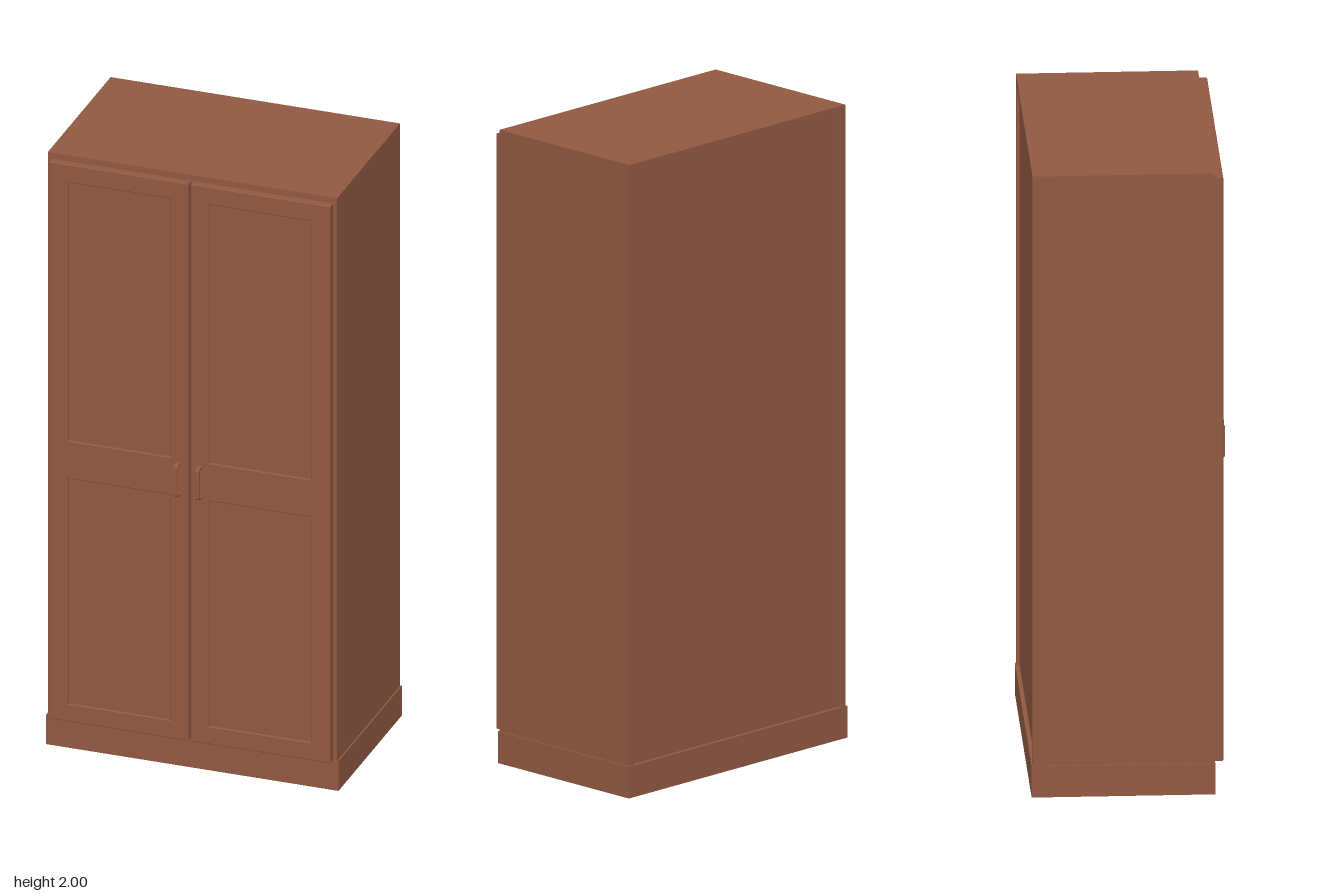
import * as THREE from 'three';

export function createModel() {
  const model = new THREE.Group();
  model.name = 'wardrobe';
  const wood = new THREE.MeshStandardMaterial({ color: 0x915942 });
  wood.name = 'brown wood';

  const add = (parent, name, geometry, x = 0, y = 0, z = 0) => {
    const mesh = new THREE.Mesh(geometry, wood);
    mesh.name = name;
    mesh.position.set(x, y, z);
    parent.add(mesh);
    return mesh;
  };
  // Box given by its limits on each axis
  const box = (parent, name, x0, x1, y0, y1, z0, z1) =>
    add(parent, name, new THREE.BoxGeometry(x1 - x0, y1 - y0, z1 - z0),
      (x0 + x1) / 2, (y0 + y1) / 2, (z0 + z1) / 2);
  const rectangle = (Type, x0, x1, y0, y1) => new Type([
    new THREE.Vector2(x0, y0), new THREE.Vector2(x1, y0),
    new THREE.Vector2(x1, y1), new THREE.Vector2(x0, y1),
  ]);

  // Plinth and hollow carcass
  const back = -0.303, front = 0.251;
  box(model, 'plinth', -0.473, 0.473, 0, 0.1, -0.306, 0.253);
  for (const s of [-1, 1]) {
    const side = box(model, s > 0 ? 'leftSide' : 'rightSide', -0.01, 0.01, 0.1, 2, back, front);
    side.position.x = s * 0.458;
  }
  box(model, 'topBoard', -0.448, 0.448, 1.98, 2, back, front);
  box(model, 'backBoard', -0.448, 0.448, 0.1, 1.98, back + 0.01, back + 0.02);

  // Side profile of a handle: a square arch with rounded corners
  const y0 = 0.93, y1 = 1.036, depth = 0.028, t = 0.006, r = 0.011;
  const arch = new THREE.Shape();
  arch.moveTo(0, y0);
  arch.lineTo(depth - r, y0);
  arch.quadraticCurveTo(depth, y0, depth, y0 + r);
  arch.lineTo(depth, y1 - r);
  arch.quadraticCurveTo(depth, y1, depth - r, y1);
  arch.lineTo(0, y1);
  arch.lineTo(0, y1 - t);
  arch.lineTo(depth - r, y1 - t);
  arch.quadraticCurveTo(depth - t, y1 - t, depth - t, y1 - r);
  arch.lineTo(depth - t, y0 + r);
  arch.quadraticCurveTo(depth - t, y0 + t, depth - r, y0 + t);
  arch.lineTo(0, y0 + t);
  arch.closePath();
  const handleGeometry = new THREE.ExtrudeGeometry(arch, { depth: 0.013, bevelEnabled: false, curveSegments: 6 });
  handleGeometry.translate(0, 0, -0.0065);
  handleGeometry.rotateY(-Math.PI / 2);

  // Paired doors: bevelled frame, two sunken panels and a handle
  const bevel = 0.002;
  for (const s of [-1, 1]) {
    const door = new THREE.Group();
    door.name = s > 0 ? 'leftDoor' : 'rightDoor';
    door.position.x = s * 0.2295;
    model.add(door);

    const hw = 0.2255, cx = -s * 0.0025, pw = 0.165;
    const frame = rectangle(THREE.Shape, -hw + bevel, hw - bevel, 0.101 + bevel, 1.981 - bevel);
    for (const [low, high] of [[0.16, 0.922], [1.048, 1.922]]) {
      frame.holes.push(rectangle(THREE.Path, cx - pw - bevel, cx + pw + bevel, low - bevel, high + bevel));
      box(door, low < 1 ? 'lowerPanel' : 'upperPanel',
        cx - pw - 0.005, cx + pw + 0.005, low - 0.005, high + 0.005, 0.256, 0.27);
    }
    add(door, 'doorFrame', new THREE.ExtrudeGeometry(frame, {
      depth: 0.027 - 2 * bevel, bevelThickness: bevel, bevelSize: bevel, bevelSegments: 1,
    }), 0, 0, front + bevel);
    add(door, 'handle', handleGeometry, -s * 0.1945, 0, 0.278);
  }
  return model;
}
